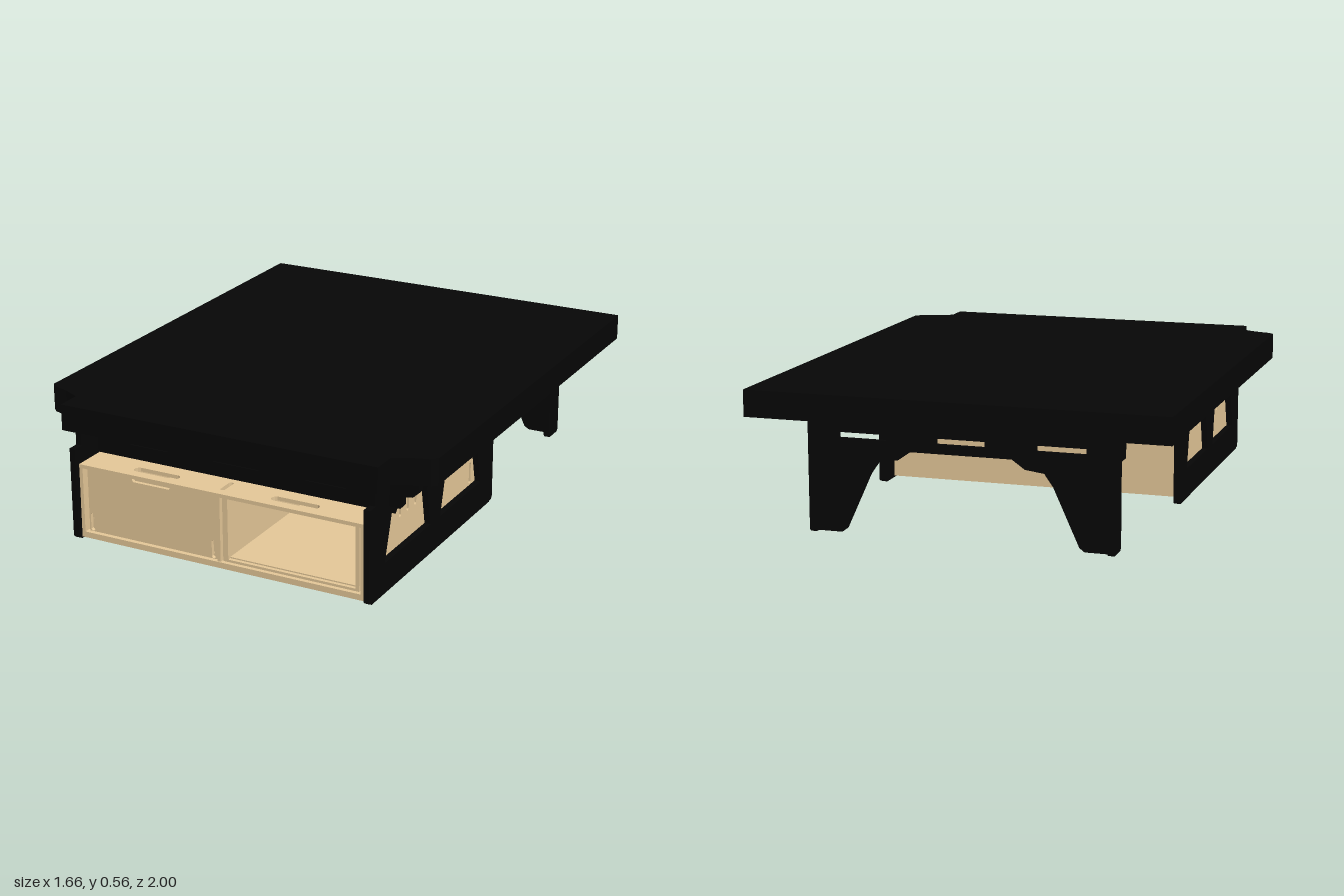
import * as THREE from 'three';

const black = new THREE.MeshStandardMaterial({ color: 0x060606 });
black.name = 'black laminate';
const wood = new THREE.MeshStandardMaterial({ color: 0xe3c697 });
wood.name = 'light plywood';

const toPath = (pts, C = THREE.Path) => new C(pts.map(p => new THREE.Vector2(p[0], p[1])));
const rect = (x0, y0, x1, y1) => [[x0, y0], [x1, y0], [x1, y1], [x0, y1]];
const mirrored = pts => [...pts, ...pts.map(([x, y]) => [-x, y]).reverse()];

// Rounded slot outline centred on (x, y)
function slot(x, y, w, h) {
  const r = Math.min(w, h) / 2, p = [];
  const dx = w / 2 - r, dy = h / 2 - r;
  for (let i = 0; i < 12; i++) {
    const a = (i + 0.5) / 12 * Math.PI * 2;
    p.push([x + Math.sign(Math.cos(a)) * dx + r * Math.cos(a), y + Math.sign(Math.sin(a)) * dy + r * Math.sin(a)]);
  }
  return p;
}

function sheet(pts, holes, depth) {
  const s = toPath(pts, THREE.Shape);
  s.holes = holes.map(h => toPath(h));
  return new THREE.ExtrudeGeometry(s, { depth, bevelEnabled: false });
}

export function createModel() {
  const model = new THREE.Group();
  const add = (name, geo, mat, x = 0, y = 0, z = 0, parent = model) => {
    const m = new THREE.Mesh(geo, mat);
    m.name = name;
    m.position.set(x, y, z);
    parent.add(m);
    return m;
  };
  const box = (name, mat, x0, x1, y0, y1, z0, z1, parent) =>
    add(name, new THREE.BoxGeometry(x1 - x0, y1 - y0, z1 - z0), mat, (x0 + x1) / 2, (y0 + y1) / 2, (z0 + z1) / 2, parent);
  // Plan sheet drawn in (x, z), with its top at the given height
  const flat = (name, mat, pts, holes, top, t, parent) =>
    add(name, sheet(pts, holes, t).rotateX(Math.PI / 2), mat, 0, top, 0, parent);
  // Side sheet drawn in (z, y), with its +x face at the given x
  const side = (name, mat, pts, holes, x, t, parent) =>
    add(name, sheet(pts, holes, t).rotateY(-Math.PI / 2), mat, x, 0, 0, parent);

  // Mattress with notched front corners
  const half = [[0.675, 1], [0.675, 0.9], [0.745, 0.865], [0.81, 0.845], [0.83, 0.825], [0.83, -1]];
  flat('mattress', black, mirrored(half), [], 0.555, 0.105);

  // Slotted bed deck
  const deckSlots = [];
  for (const z of [-0.6, -0.25, 0.25, 0.7])
    for (let i = -3; i <= 3; i++) deckSlots.push(slot(i * 0.16, z, 0.05, 0.26));
  flat('deck', black, rect(-0.645, -0.92, 0.645, 0.95), deckSlots, 0.45, 0.015);

  // Side panels with jagged-topped windows and a notch between them
  const windows = [
    [[0.877, 0.125], [0.82, 0.31], [0.79, 0.288], [0.72, 0.365], [0.64, 0.3], [0.6, 0.318], [0.545, 0.335], [0.52, 0.3], [0.485, 0.125]],
    [[0.397, 0.125], [0.34, 0.345], [0.33, 0.315], [0.26, 0.335], [0.17, 0.362], [0.1, 0.288], [0.06, 0.31], [0.016, 0.125]],
  ];
  const gap = [[0.415, 0.44], [0.475, 0.44], [0.452, 0.4], [0.465, 0.335], [0.425, 0.335], [0.438, 0.4]];
  const panel = [[0.99, 0.005], [1, 0.015], [1, 0.38], [0.955, 0.38], [0.955, 0.45],
    [-0.065, 0.45], [-0.065, 0.38], [-0.105, 0.38], [-0.105, 0.015], [-0.095, 0.005]];
  const legReturn = [[-0.83, 0.015], [-0.84, 0.005], [-0.92, 0.005], [-0.93, 0.015], [-0.93, 0.45],
    [-0.79, 0.45], [-0.77, 0.4], [-0.77, 0.34], [-0.83, 0.34]];
  for (const s of [1, -1]) {
    side('sidePanel', black, panel, [...windows, gap], s > 0 ? 0.645 : -0.62, 0.025);
    box('deckRail', black, s * 0.57 - 0.015, s * 0.57 + 0.015, 0.388, 0.45, -0.86, -0.06);
    // Rear leg return with a small bracket in front of it
    side('rearLegReturn', black, legReturn, [], s > 0 ? 0.6 : -0.575, 0.025);
    box('footPad', black, s * 0.632 - 0.012, s * 0.632 + 0.012, 0, 0.02, -0.08, 0.98);
  }

  // Cross ribs carrying the overhang on stepped brackets
  const vents = [[-0.47, -0.3, 0.03, 0], [-0.1, 0.1, 0.01, 0.01], [0.3, 0.47, 0, 0.03]]
    .map(([a, b, l, r]) => [[a, 0.373], [b, 0.373], [b - r, 0.392], [a + l, 0.392]]);
  const arm = [[0.64, 0.316], [0.645, 0.338], [0.69, 0.338], [0.7, 0.35], [0.7, 0.385], [0.74, 0.392], [0.765, 0.415], [0.765, 0.45]];
  for (const z of [0.82, 0.56, 0.3, 0.0]) add('crossRib', sheet(mirrored(arm), vents, 0.025), black, 0, 0, z);

  // Rear leg panel with an arched, jagged lower edge
  const leg = [[0.07, 0.335], [0.2, 0.335], [0.25, 0.3], [0.325, 0.29], [0.36, 0.24], [0.46, 0.02], [0.48, 0.005], [0.585, 0.005], [0.6, 0.02], [0.6, 0.45]];
  const rearSlots = [-0.39, 0, 0.39].map(x => rect(x - 0.095, 0.372, x + 0.095, 0.394));
  add('rearLegPanel', sheet(mirrored(leg), rearSlots, 0.015), black, 0, 0, -0.9);

  // Plywood storage box
  const chest = new THREE.Group();
  chest.name = 'storageBox';
  model.add(chest);
  const [z0, z1] = [-0.01, 0.985];
  flat('boxTop', wood, rect(-0.615, z0, 0.615, z1),
    [slot(-0.3, 0.925, 0.2, 0.04), slot(0.3, 0.925, 0.2, 0.04), slot(0, 0.91, 0.02, 0.08)], 0.315, 0.015, chest);
  const fingers = [0.69, 0.625, 0.56, 0.35].map(z => slot(z, 0.26, 0.018, 0.06));
  fingers.push(slot(0.055, 0.17, 0.018, 0.09));
  for (const s of [1, -1])
    side('boxSide', wood, rect(z0, 0.015, z1, 0.3), fingers, s > 0 ? 0.615 : -0.6, 0.015, chest);
  box('divider', wood, -0.0075, 0.0075, 0.03, 0.3, z0, z1 - 0.005, chest);
  box('boxBack', wood, -0.6, 0.6, 0.015, 0.3, z0, z0 + 0.015, chest);
  box('boxFloor', wood, -0.6, 0.6, 0.022, 0.034, z0, z1, chest);

  // Drawer trays, one in each bay
  for (const c of [-0.305, 0.305]) {
    for (const s of [1, -1])
      box('drawerSide', wood, c + s * 0.276 - 0.006, c + s * 0.276 + 0.006, 0.038, 0.296, z0 + 0.04, z1 - 0.03, chest);
    box('drawerFloor', wood, c - 0.27, c + 0.27, 0.038, 0.05, z0 + 0.04, z1 - 0.03, chest);
    box('drawerBack', wood, c - 0.27, c + 0.27, 0.05, 0.296, z0 + 0.04, z0 + 0.052, chest);
  }

  // Closed front with a finger cutout on the left bay
  const front = [[-0.588, 0.036], [-0.013, 0.036], [-0.013, 0.3], [-0.21, 0.3], [-0.22, 0.28],
    [-0.38, 0.28], [-0.39, 0.3], [-0.588, 0.3]];
  const grips = [slot(-0.573, 0.075, 0.018, 0.075), slot(-0.028, 0.075, 0.018, 0.075)];
  add('drawerFront', sheet(front, grips, 0.015), wood, 0, 0, z1 - 0.03, chest);
  box('drawerBacking', wood, -0.575, -0.035, 0.05, 0.28, 0.93, 0.94, chest);

  // Open frame on the right bay
  add('openBayFrame', sheet(rect(0.013, 0.035, 0.588, 0.3), [rect(0.035, 0.045, 0.572, 0.298)], 0.015), wood, 0, 0, z1 - 0.03, chest);

  // Underside sheet with lightening pockets
  const corner = [[0.12, 0.46], [0.44, 0.46], [0.54, 0.38], [0.54, 0.24], [0.3, 0.15]];
  const pockets = [];
  for (const sx of [1, -1]) {
    for (const sz of [1, -1]) pockets.push(corner.map(([x, z]) => [sx * x, 0.48 + sz * z]));
    pockets.push([[sx * 0.12, 0.48], [sx * 0.32, 0.57], [sx * 0.32, 0.39]]);
  }
  for (const sz of [1, -1]) pockets.push([[0, 0.48 + sz * 0.08], [0.11, 0.48 + sz * 0.24], [-0.11, 0.48 + sz * 0.24]]);
  flat('boxUnderside', wood, rect(-0.615, z0, 0.615, z1), pockets, 0.022, 0.012, chest);
  return model;
}
